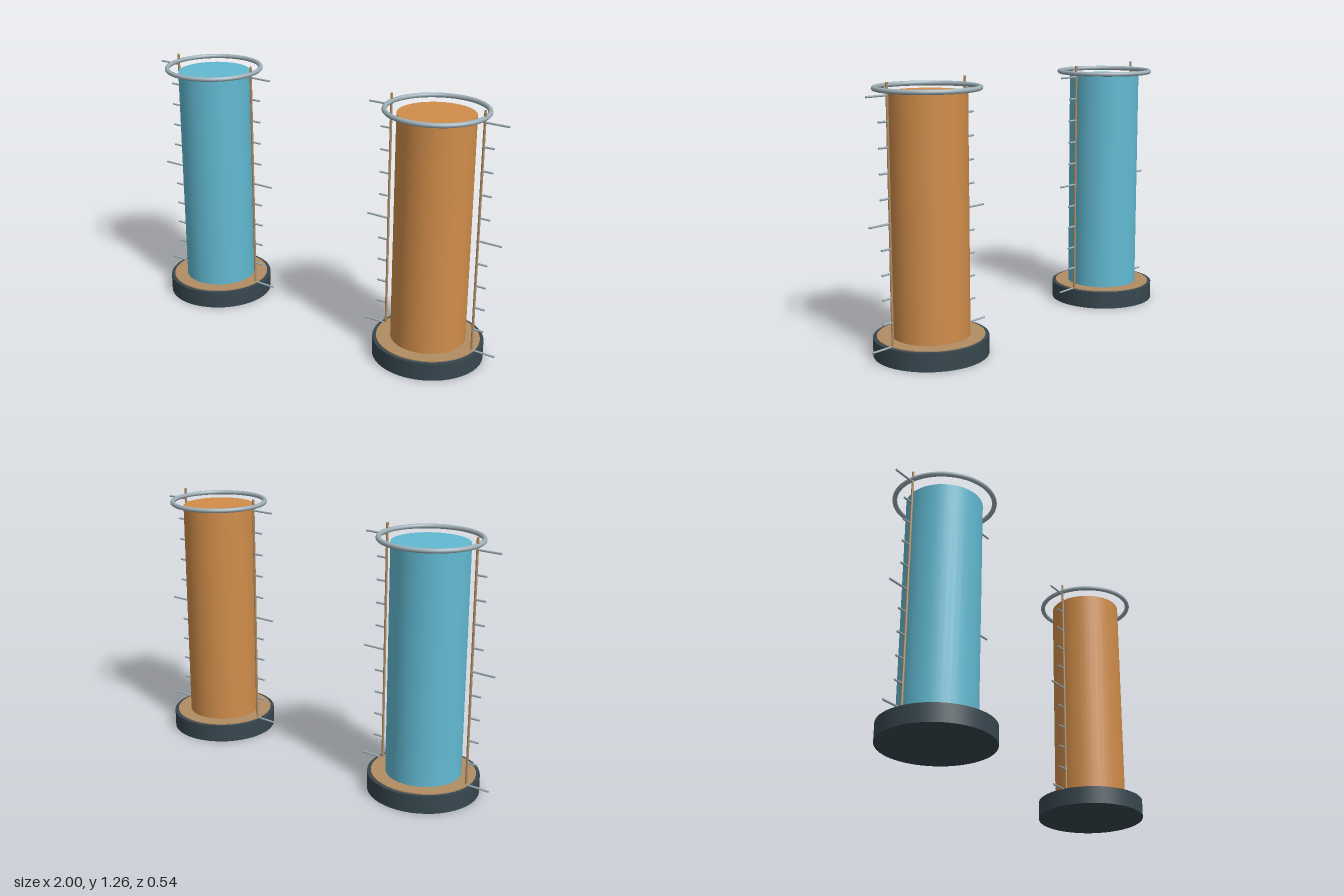
import * as THREE from 'three';

const paint = (name, color) => {
  const m = new THREE.MeshStandardMaterial({ color });
  m.name = name;
  return m;
};

export function createModel() {
  const slate = paint('slate', 0x37474f);
  const bronze = paint('bronze', 0xb08d64);
  const steel = paint('steel', 0x9fb0b8);
  const blue = paint('blue', 0x62bad3);
  const orange = paint('orange', 0xd08d4a);

  const add = (parent, name, geometry, material, x = 0, y = 0) => {
    const mesh = new THREE.Mesh(geometry, material);
    mesh.name = name;
    mesh.position.set(x, y, 0);
    parent.add(mesh);
    return mesh;
  };
  // upright cylinder between two heights
  const upright = (parent, name, r, y0, y1, sides, material, x = 0) =>
    add(parent, name, new THREE.CylinderGeometry(r, r, y1 - y0, sides), material, x, (y0 + y1) / 2);

  const BOTTOM = 0.088, TOP = 1.21, ROD = 0.237;

  function gauge(name, x, fill) {
    const g = new THREE.Group();
    g.name = name;
    g.position.x = x;
    upright(g, 'base', 0.268, 0, 0.087, 48, slate);
    upright(g, 'basePlate', 0.25, 0.08, 0.092, 48, bronze);
    upright(g, 'column', 0.181, BOTTOM, TOP, 40, fill);

    const ring = add(g, 'topRing', new THREE.TorusGeometry(0.236, 0.0115, 12, 64), steel, 0, 1.227);
    ring.rotation.x = Math.PI / 2;

    // a graduated rod on each side, every fifth mark long
    for (const side of [-1, 1]) {
      upright(g, 'scaleRod', 0.006, BOTTOM, 1.265, 10, bronze, side * ROD);
      for (let i = 0; i <= 10; i++) {
        const end = i % 5 === 0 ? 0.355 : 0.29;
        const mark = add(g, 'scaleMark', new THREE.CylinderGeometry(0.005, 0.005, end - ROD, 8), steel,
          side * (ROD + end) / 2, BOTTOM + (TOP - BOTTOM) * i / 10);
        mark.rotation.z = Math.PI / 2;
      }
    }
    return g;
  }

  const model = new THREE.Group();
  model.name = 'columnGauges';
  model.add(gauge('blueGauge', -0.645, blue), gauge('orangeGauge', 0.645, orange));
  return model;
}
